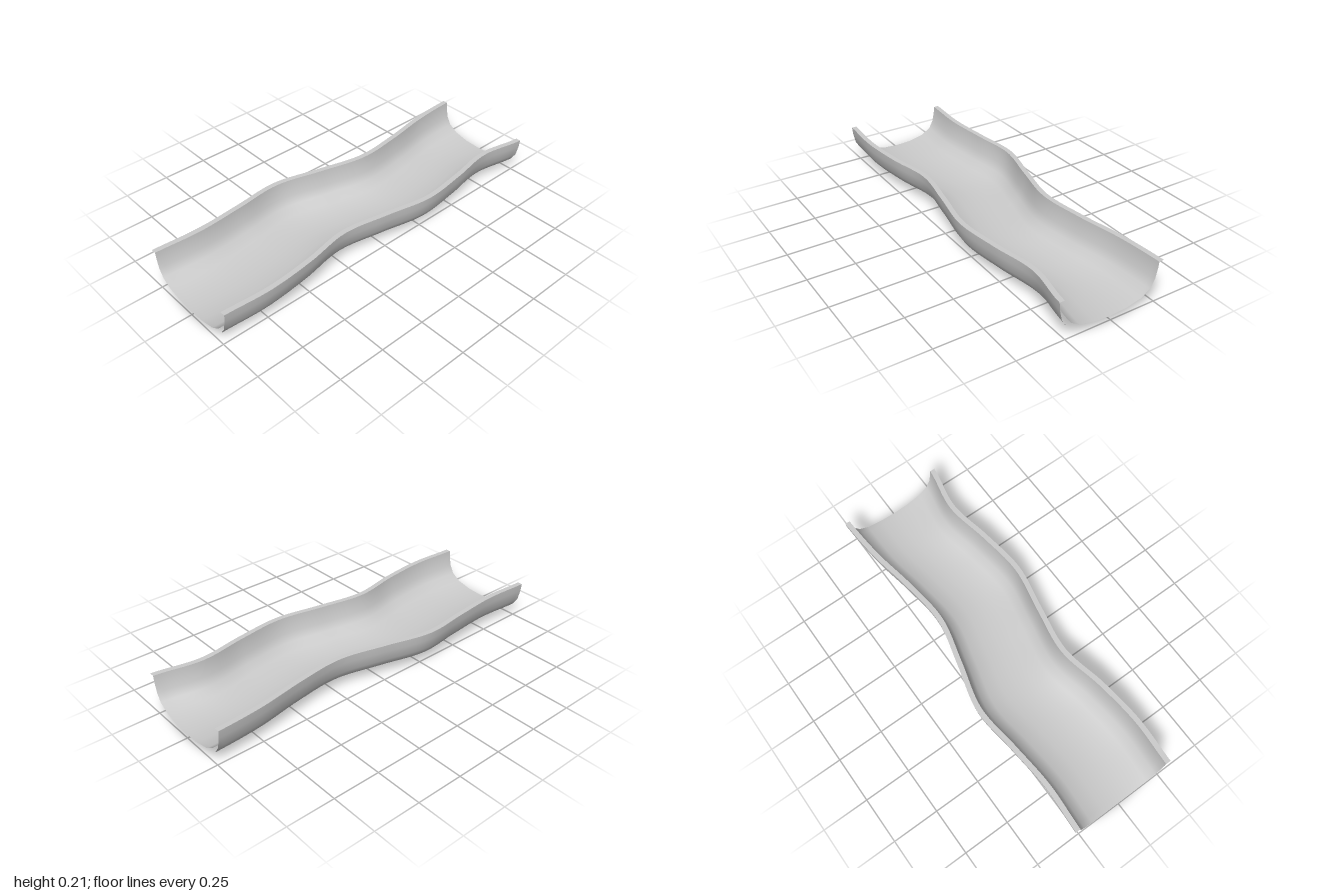
import * as THREE from 'three';

const STEPS = 64, TOP = 0.21, WALL = 0.027;

// Winding plan of the two side walls, at even steps along x
const edge = (zs) => new THREE.SplineCurve(zs.map((z, i) => new THREE.Vector2(-1 + i * 0.25, z)));
const backEdge = edge([-0.288, -0.276, -0.297, -0.32, -0.26, -0.204, -0.226, -0.268, -0.287]);
const frontEdge = edge([0.288, 0.299, 0.274, 0.23, 0.268, 0.312, 0.286, 0.247, 0.288]);

// Half profiles from rim to floor: [fraction of half width, height]
const outerHalf = [[1, TOP], [0.985, 0.168], [0.94, 0.11], [0.84, 0.066], [0.64, 0.034], [0.32, 0.008], [0, 0]];
const innerHalf = [[1, TOP], [0.99, 0.18], [0.945, 0.122], [0.85, 0.078], [0.655, 0.046], [0.33, 0.027], [0, 0.022]];

// Full profile, from the back rim under to the front rim
const mirror = (half) => [
  ...half.map(([f, y]) => [-f, y]),
  ...half.slice(0, -1).reverse(),
];

// Sweep a profile along x; inset narrows it, lift raises the floor mid-length
function sweep(name, profile, { lift = 0 }) {
  const pos = [], index = [], n = profile.length;
  for (let i = 0; i <= STEPS; i++) {
    const t = i / STEPS, x = -1 + 2 * t;
    const back = backEdge.getPoint(t).y, front = frontEdge.getPoint(t).y;
    const centre = (front + back) / 2, half = (front - back) / 2;
    for (const [f, y, inset] of profile) {
      const rise = lift * (1 - x * x) * (1 - y / TOP);
      pos.push(x, y + rise, centre + f * (half - inset));
    }
  }
  for (let i = 0; i < STEPS; i++) {
    for (let j = 0; j < n - 1; j++) {
      const a = i * n + j, b = a + n;
      index.push(a, b, a + 1, b, b + 1, a + 1);
    }
  }
  const geometry = new THREE.BufferGeometry();
  geometry.setAttribute('position', new THREE.Float32BufferAttribute(pos, 3));
  geometry.setIndex(index);
  geometry.computeVertexNormals();
  const mesh = new THREE.Mesh(geometry, new THREE.MeshStandardMaterial({ color: 0xcccccc }));
  mesh.name = name;
  return mesh;
}

export function createModel() {
  const group = new THREE.Group();
  group.name = 'windingChannel';
  const withInset = (profile, inset) => profile.map(([f, y]) => [f, y, inset]);

  // Outer and inner skins; the hollow wall is open at both ends
  group.add(sweep('outerShell', withInset(mirror(outerHalf), 0), { lift: 0.011 }));
  group.add(sweep('innerTrough', withInset(mirror(innerHalf), WALL).reverse(), {}));

  // Flat rims joining the skins
  group.add(sweep('frontRim', [[1, TOP, 0], [1, TOP, WALL]], {}));
  group.add(sweep('backRim', [[-1, TOP, WALL], [-1, TOP, 0]], {}));
  return group;
}
